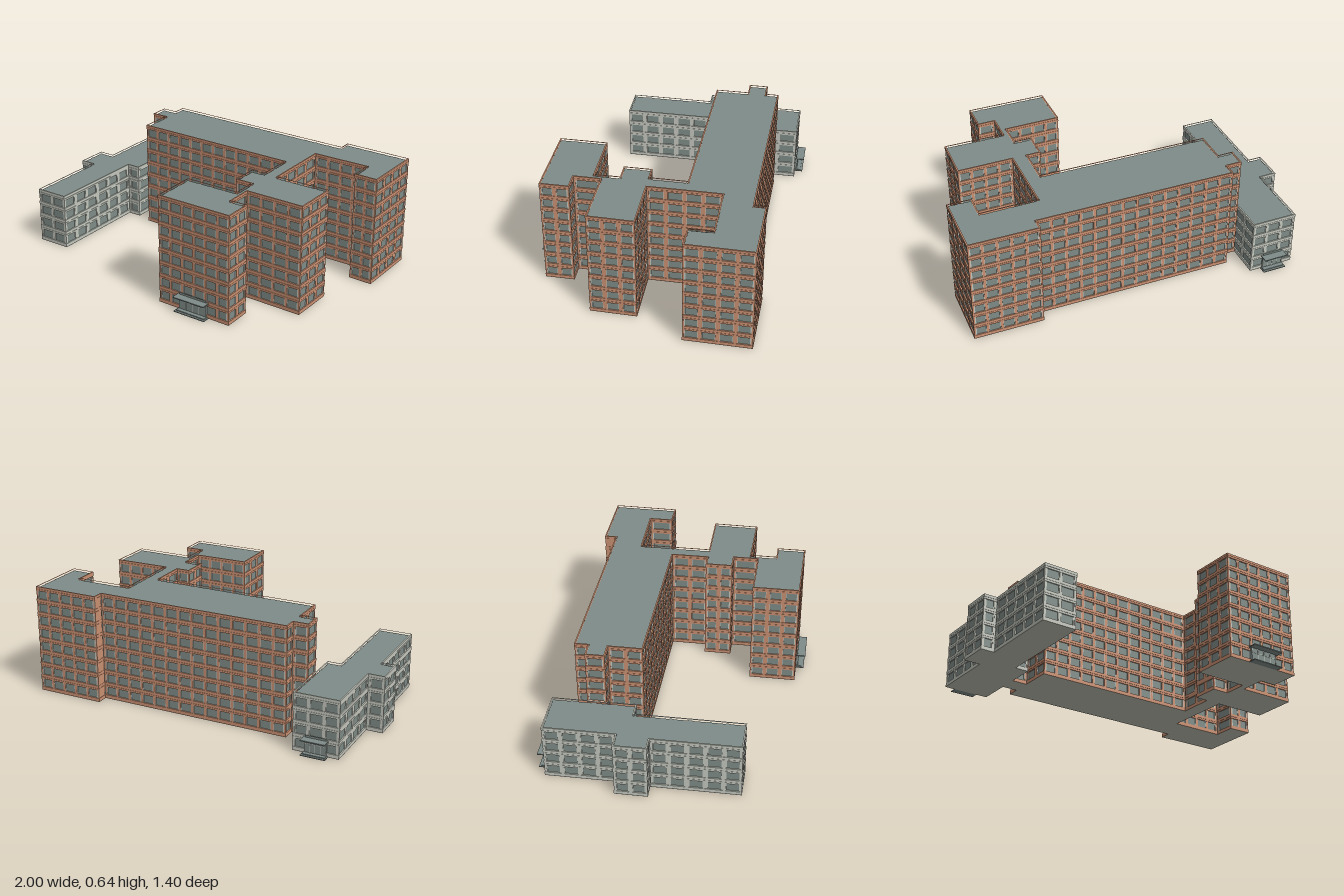
import * as THREE from 'three';
import { mergeGeometries } from 'three/addons/utils/BufferGeometryUtils.js';

const FLOOR = 0.0777, SILL = 0.022, WINDOW = 0.049;

// Outlines as [x, z], clockwise seen from above
const BRICK = [
  [-0.64, -0.455], [-0.55, -0.455], [-0.55, -0.53], [0.6, -0.518], [0.6, -0.585], [1, -0.58],
  [0.995, -0.2], [0.855, -0.205], [0.855, -0.34], [0.53, -0.34], [0.53, 0.07], [0.85, 0.07],
  [0.845, 0.335], [0.5, 0.33], [0.5, 0.48], [0.6, 0.48], [0.6, 0.648], [0.14, 0.643],
  [0.14, 0.37], [0.46, 0.37], [0.46, 0.23], [0.36, 0.23], [0.36, 0.07], [0.44, 0.07],
  [0.44, -0.14], [-0.55, -0.155], [-0.55, -0.345], [-0.64, -0.345],
];
const PALE = [
  [-0.905, -0.65], [-0.64, -0.65], [-0.64, -0.18], [-0.72, -0.18], [-0.72, 0.43], [-0.92, 0.43],
  [-0.92, -0.065], [-1, -0.065], [-1, -0.25], [-0.905, -0.25],
];

const material = (name, color, side = THREE.FrontSide) =>
  Object.assign(new THREE.MeshStandardMaterial({ color, side }), { name });

function addMesh(parent, name, geometry, mat) {
  const mesh = new THREE.Mesh(geometry, mat);
  mesh.name = name;
  parent.add(mesh);
}

function box(w, h, d, x, y, z) {
  return new THREE.BoxGeometry(w, h, d).translate(x, y, z);
}

// Unit direction of each outline edge, with its length
function edges(outline) {
  return outline.map((a, i) => {
    const b = outline[(i + 1) % outline.length];
    const length = Math.hypot(b[0] - a[0], b[1] - a[1]);
    return { a, length, dx: (b[0] - a[0]) / length, dz: (b[1] - a[1]) / length };
  });
}

// Move every wall of the outline inwards by d
function inset(outline, d) {
  const es = edges(outline);
  return outline.map(([x, z], i) => {
    const p = es[(i + es.length - 1) % es.length], q = es[i];
    const k = d / (1 + p.dx * q.dx + p.dz * q.dz);
    return [x - (p.dz + q.dz) * k, z + (p.dx + q.dx) * k];
  });
}

const points = (outline) => outline.map(([x, z]) => new THREE.Vector2(x, -z));

function slab(outline, y0, y1, hole) {
  const shape = new THREE.Shape(points(outline));
  if (hole) shape.holes.push(new THREE.Path(points(hole)));
  return new THREE.ExtrudeGeometry(shape, { depth: y1 - y0, bevelEnabled: false })
    .rotateX(-Math.PI / 2).translate(0, y0, 0);
}

// Upright piers between the windows of every wall, narrow at the corners;
// extra widens them and recess sets their face back
function piers(outline, height, extra, recess) {
  const parts = [];
  const depth = 0.0075 - recess;
  for (const e of edges(outline)) {
    const alongX = Math.abs(e.dx) > 0.5;
    const solid = e.length < 0.075;
    const n = solid ? 0 : Math.max(1, Math.round(e.length / (alongX ? 0.082 : 0.105)));
    for (let i = 0; i <= n; i++) {
      const corner = i === 0 || i === n;
      const w = solid ? e.length - 0.003 : (corner ? 0.009 : alongX ? 0.015 : 0.023) + extra;
      const end = w / 2 + recess;
      const t = n ? Math.min(Math.max((e.length * i) / n, end), e.length - end) : e.length / 2;
      const inward = recess + depth / 2;
      parts.push(new THREE.BoxGeometry(w, height, depth)
        .rotateY(-Math.atan2(e.dz, e.dx))
        .translate(e.a[0] + e.dx * t - e.dz * inward, height / 2 + 0.001,
          e.a[1] + e.dz * t + e.dx * inward));
    }
  }
  return mergeGeometries(parts);
}

function building(name, outline, floors, height, wall, slate, trim, floorMat) {
  const group = new THREE.Group();
  group.name = name;

  // Recessed glazing with the flat roof on top
  addMesh(group, 'glazingAndRoof', slab(inset(outline, 0.007), 0.002, height - 0.01), slate);

  // Storey bands, split by a hairline joint
  const hole = inset(outline, 0.008);
  const bands = [slab(outline, 0.001, SILL, hole)];
  for (let i = 0; i < floors; i++) {
    const top = SILL + WINDOW + i * FLOOR;
    const next = i === floors - 1 ? height : SILL + (i + 1) * FLOOR;
    bands.push(slab(outline, top, top + 0.011, hole));
    bands.push(slab(outline, top + 0.0122, next, hole));
  }
  addMesh(group, 'storeyBands', mergeGeometries(bands), wall);

  // Piers with slim pale window jambs beside them
  addMesh(group, 'piers', piers(outline, height - 0.012, 0, 0.0015), wall);
  addMesh(group, 'windowJambs', piers(outline, height - 0.013, 0.005, 0.003), trim);

  // Underside
  addMesh(group, 'underside',
    new THREE.ShapeGeometry(new THREE.Shape(points(outline))).rotateX(-Math.PI / 2), floorMat);
  return group;
}

// Porch facing +z, with its back on z = 0
function entrance(name, w, slate, trim) {
  const group = new THREE.Group();
  group.name = name;
  addMesh(group, 'canopy', box(w, 0.006, 0.052, 0, 0.09, 0.026), slate);
  addMesh(group, 'canopyUpstand', box(w * 0.86, 0.012, 0.004, 0, 0.099, 0.004), slate);
  addMesh(group, 'steps', mergeGeometries([
    box(w, 0.005, 0.046, 0, 0.0025, 0.023),
    box(w * 0.92, 0.005, 0.034, 0, 0.0075, 0.017),
  ]), slate);
  addMesh(group, 'glazedDoors', box(w * 0.88, 0.077, 0.012, 0, 0.0485, 0.004), slate);
  const frame = [box(w * 0.88, 0.0025, 0.002, 0, 0.06, 0.0105)];
  for (const t of [-0.43, -0.22, 0, 0.22, 0.43]) {
    frame.push(box(0.0025, 0.077, 0.002, t * w, 0.0485, 0.0105));
  }
  addMesh(group, 'doorFrames', mergeGeometries(frame), trim);
  return group;
}

export function createModel() {
  const brick = material('brick', 0xcb9173);
  const pale = material('pale concrete', 0xc5c8be);
  const slate = material('slate glass', 0x7f8c88);
  const under = material('concrete underside', 0xbfbfb3, THREE.DoubleSide);

  const model = new THREE.Group();
  model.name = 'buildingComplex';
  model.add(building('brickBuilding', BRICK, 8, 0.64, brick, slate, pale, under));
  model.add(building('paleWing', PALE, 4, 0.332, pale, slate, pale, under));

  const front = entrance('frontEntrance', 0.2, slate, pale);
  front.position.set(0.37, 0, 0.645);
  const back = entrance('backEntrance', 0.14, slate, pale);
  back.position.set(-0.775, 0, -0.65);
  back.rotation.y = Math.PI;
  model.add(front, back);
  return model;
}
